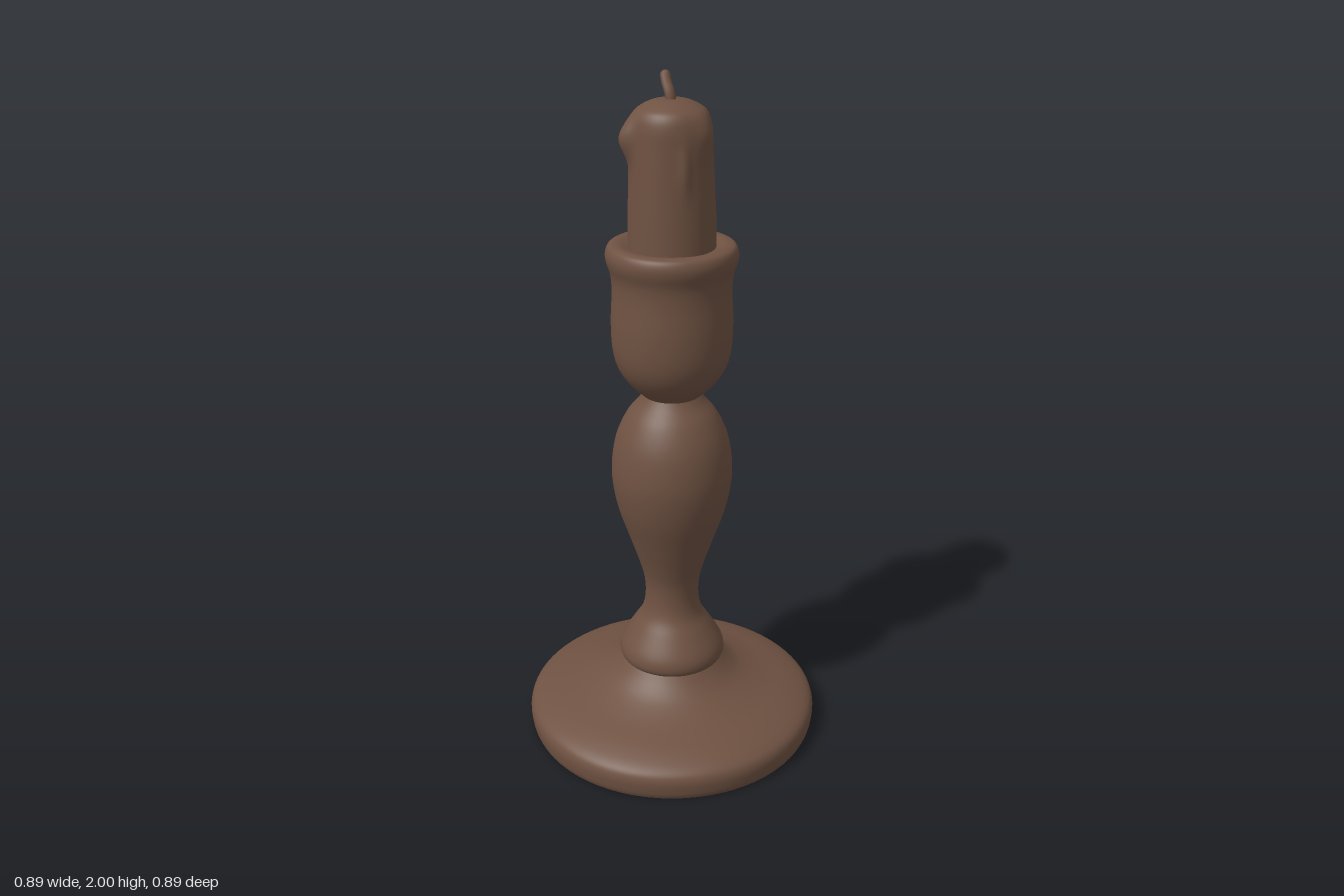
import * as THREE from 'three';
import { mergeVertices } from 'three/addons/utils/BufferGeometryUtils.js';

const brown = new THREE.MeshStandardMaterial({ color: 0x6f5242 });
brown.name = 'brown';

function part(name, geometry) {
  const mesh = new THREE.Mesh(geometry, brown);
  mesh.name = name;
  return mesh;
}

// Smooth turned shape from a few [radius, height] points, bottom to top
function turned(points, steps = 48) {
  const curve = new THREE.SplineCurve(points.map(([r, y]) => new THREE.Vector2(r, y)));
  const profile = curve.getPoints(steps).map((p) => new THREE.Vector2(Math.max(p.x, 0), p.y));
  return new THREE.LatheGeometry(profile, 72);
}

// Melted wax: bulges pushed outwards at an angle and height
const drips = [
  { x: -0.115, z: 0.08, y: 1.83, size: 0.032, spread: 0.24, tall: 0.05 },
  { x: 0.115, z: 0.03, y: 1.84, size: 0.012, spread: 0.35, tall: 0.05 },
  { x: 0.075, z: 0.095, y: 1.76, size: 0.008, spread: 0.12, tall: 0.06 },
];

function candleGeometry() {
  let g = turned([
    [0.122, 1.5], [0.121, 1.6], [0.117, 1.7], [0.112, 1.8], [0.109, 1.86],
    [0.1, 1.892], [0.082, 1.91], [0.045, 1.926], [0, 1.93],
  ], 64);
  g.deleteAttribute('uv');
  g.deleteAttribute('normal');
  g = mergeVertices(g, 1e-5);
  const p = g.attributes.position;
  for (let i = 0; i < p.count; i++) {
    const x = p.getX(i), y = p.getY(i), z = p.getZ(i);
    const r = Math.hypot(x, z);
    if (r < 1e-4) continue;
    const angle = Math.atan2(z, x);
    let grow = 0;
    for (const d of drips) {
      let turn = angle - Math.atan2(d.z, d.x);
      turn = Math.atan2(Math.sin(turn), Math.cos(turn));
      grow += d.size * Math.exp(-((turn / d.spread) ** 2) - ((y - d.y) / d.tall) ** 2);
    }
    const s = 1 + (grow / r) * Math.min(1, r / 0.1);
    // The worn top leans slightly towards the front
    const lean = 0.008 * THREE.MathUtils.smoothstep(y, 1.55, 1.88);
    p.setXYZ(i, x * s, y, z * s + lean);
  }
  g.computeVertexNormals();
  return g;
}

export function createModel() {
  const group = new THREE.Group();
  group.name = 'candlestick';

  // Wide round foot with a flat underside
  group.add(part('foot', turned([
    [0.434, 0], [0.441, 0.02], [0.443, 0.06], [0.425, 0.088], [0.37, 0.114],
    [0.28, 0.142], [0.215, 0.17], [0.175, 0.2], [0.148, 0.23],
  ])));
  const underside = part('underside', new THREE.CircleGeometry(0.434, 72));
  underside.rotation.x = Math.PI / 2;
  group.add(underside);

  // Turned stem: lower ring, narrow neck, swelling
  group.add(part('stem', turned([
    [0.13, 0.224], [0.152, 0.228], [0.16, 0.25], [0.152, 0.282], [0.12, 0.335],
    [0.092, 0.38], [0.081, 0.43], [0.083, 0.49], [0.098, 0.55], [0.128, 0.64],
    [0.158, 0.73], [0.174, 0.81], [0.176, 0.88], [0.163, 0.96], [0.132, 1.03],
    [0.096, 1.075], [0.08, 1.1],
  ], 80)));

  // Cup with a rolled rim
  group.add(part('cup', turned([
    [0.074, 1.085], [0.09, 1.1], [0.122, 1.13], [0.152, 1.175], [0.168, 1.23],
    [0.172, 1.31], [0.168, 1.4], [0.171, 1.45], [0.183, 1.49], [0.184, 1.515],
    [0.174, 1.534], [0.15, 1.538], [0.125, 1.53], [0.1, 1.52],
  ], 70)));

  group.add(part('candle', candleGeometry()));

  // Bent wick with a closed tip
  const path = new THREE.CatmullRomCurve3([
    new THREE.Vector3(0.004, 1.915, 0.016),
    new THREE.Vector3(-0.002, 1.945, 0.013),
    new THREE.Vector3(-0.013, 1.968, 0.005),
    new THREE.Vector3(-0.02, 1.988, -0.003),
  ]);
  group.add(part('wick', new THREE.TubeGeometry(path, 12, 0.014, 10, false)));
  const tip = part('wickTip', new THREE.SphereGeometry(0.014, 10, 8));
  tip.position.set(-0.02, 1.986, -0.003);
  group.add(tip);

  return group;
}
